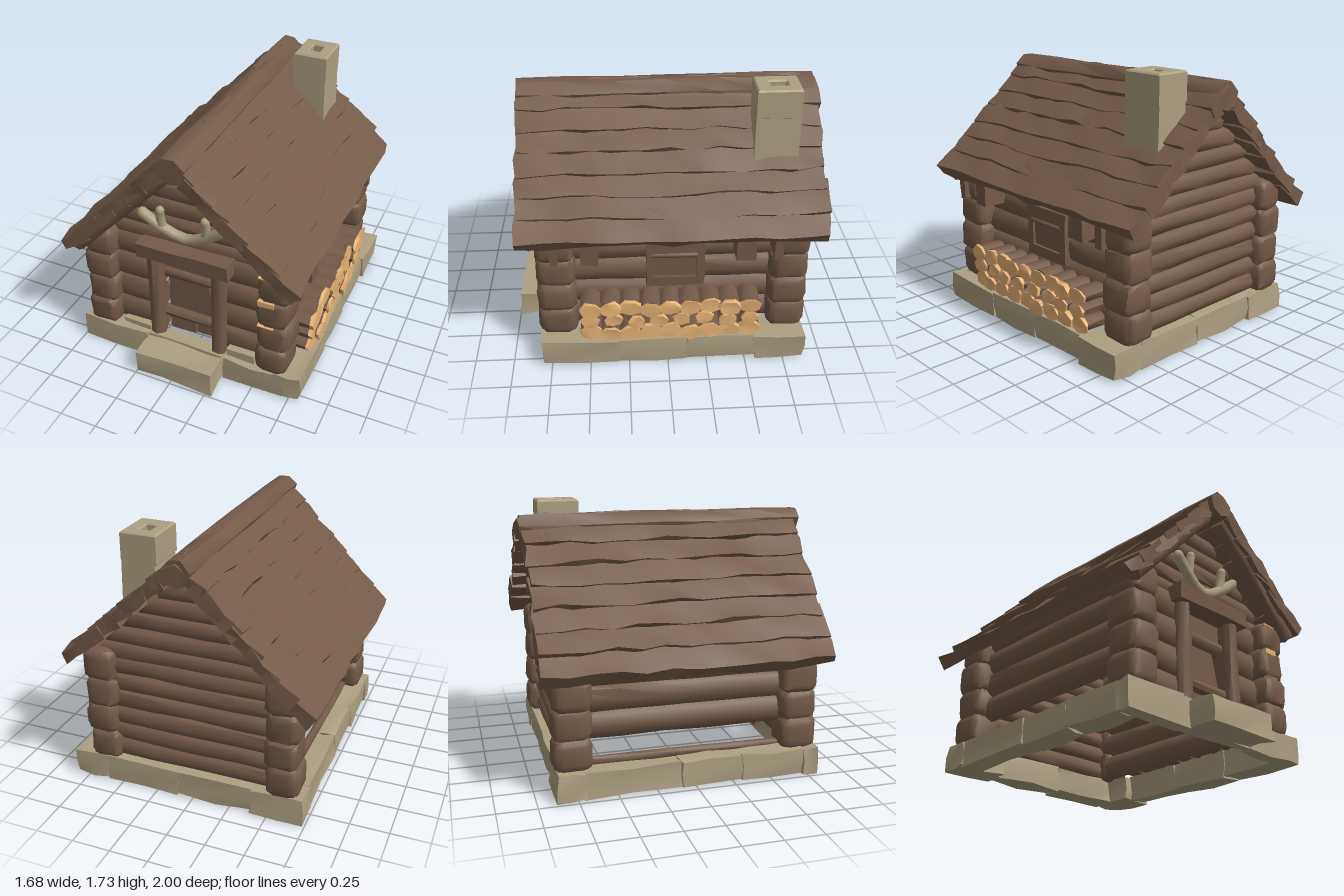
import * as THREE from 'three';
import { toCreasedNormals } from 'three/addons/utils/BufferGeometryUtils.js';
import { RoundedBoxGeometry } from 'three/addons/geometries/RoundedBoxGeometry.js';

const material = (name, color) => {
  const m = new THREE.MeshStandardMaterial({ color });
  m.name = name;
  return m;
};

export function createModel() {
  const group = new THREE.Group();
  const bark = material('brown timber', 0x735a49);
  const stone = material('grey stone', 0xada082);
  const cut = material('cut wood', 0xe6b274);
  let seed = 1;

  // Nudges vertices by a rule on their position, so shared corners stay joined
  function rough(geo, amount) {
    const p = geo.attributes.position;
    const k = seed++ * 1.37;
    const n = (a, b, c, s) => {
      const v = Math.sin(a * 127.1 + b * 311.7 + c * 74.7 + s + k) * 4375.85;
      return (v - Math.floor(v) - 0.5) * 2 * amount;
    };
    for (let i = 0; i < p.count; i++) {
      const [x, y, z] = [p.getX(i), p.getY(i), p.getZ(i)].map(v => Math.round(v * 1000) / 1000 + 0);
      p.setXYZ(i, x + n(x, y, z, 1), y + n(x, y, z, 2), z + n(x, y, z, 3));
    }
    return toCreasedNormals(geo, 0.9);
  }

  function add(name, geo, mat) {
    const mesh = new THREE.Mesh(geo, mat);
    mesh.name = name;
    group.add(mesh);
    return mesh;
  }

  // Rough block given by its limits on each axis
  function block(name, mat, [x0, x1], [y0, y1], [z0, z1], amount = 0.008, seg = [1, 1, 1]) {
    const geo = rough(new THREE.BoxGeometry(x1 - x0, y1 - y0, z1 - z0, ...seg), amount);
    const mesh = add(name, geo, mat);
    mesh.position.set((x0 + x1) / 2, (y0 + y1) / 2, (z0 + z1) / 2);
    return mesh;
  }

  // Log between two points, with its own half width and half height
  function log(name, a, b, w, h = w, mat = bark, sides = 8, amount = 0.005) {
    const A = new THREE.Vector3(...a), B = new THREE.Vector3(...b);
    const len = A.distanceTo(B);
    const geo = new THREE.CylinderGeometry(1, 1, len, sides, Math.max(1, Math.round(len / 0.3)));
    geo.rotateX(Math.PI / 2).scale(w, h, 1);
    const mesh = add(name, rough(geo, amount), mat);
    mesh.position.copy(A).add(B).multiplyScalar(0.5);
    mesh.lookAt(B);
    return mesh;
  }

  // Flat outline with thickness
  function plate(name, mat, pts, depth, z) {
    const shape = new THREE.Shape(pts.map(([x, y]) => new THREE.Vector2(x, y)));
    add(name, new THREE.ExtrudeGeometry(shape, { depth, bevelEnabled: false }), mat).position.z = z;
  }

  // Foundation ring and doorstep
  const H = [0.01, 0.18];
  const stones = [
    [[-0.73, -0.25], [0.71, 0.82]], [[-0.25, 0.29], [0.71, 0.81]], [[0.29, 0.72], [0.71, 0.82]],
    [[0.65, 0.825], [0.32, 0.81]], [[0.66, 0.81], [-0.12, 0.32]], [[0.66, 0.81], [-0.56, -0.12]],
    [[0.6, 0.825], [-0.88, -0.56]], [[0.1, 0.6], [-0.87, -0.73]], [[-0.4, 0.1], [-0.87, -0.73]],
    [[-0.73, -0.4], [-0.88, -0.71]], [[-0.72, -0.57], [-0.71, -0.1]], [[-0.72, -0.57], [-0.1, 0.3]],
    [[-0.73, -0.56], [0.3, 0.71]],
  ];
  stones.forEach(([x, z]) => block('foundationStone', stone, x, H, z, 0.012, [2, 2, 2]));
  block('doorstep', stone, [-0.25, 0.29], [0.01, 0.165], [0.78, 0.99], 0.012, [3, 2, 2]);
  block('smallStone', stone, [-0.45, -0.25], [0.16, 0.215], [0.68, 0.77]);
  block('smallStone', stone, [0.31, 0.5], [0.16, 0.225], [0.68, 0.77]);

  // Stacked log ends at the four corners
  for (const x of [-0.59, 0.615]) {
    for (const z of [0.7, -0.77]) {
      for (let i = 0; i < 4; i++) {
        const geo = new RoundedBoxGeometry(0.215, 0.22, 0.245, 2, 0.06);
        const mesh = add('cornerLog', rough(geo, 0.006), bark);
        mesh.position.set(x + (i % 2) * 0.012, 0.275 + i * 0.188, z);
      }
    }
  }
  for (const [y, h] of [[0.73, 0.035], [0.55, 0.008], [0.92, 0.012]])
    block('splitEnd', cut, [0.53, 0.635], [y - h / 2, y + h / 2], [0.79, 0.822], 0.003);

  // Back wall, side walls and front wall beside the door
  for (let i = 0; i < 6; i++) {
    const y = 0.24 + i * 0.12;
    log('backWallLog', [-0.56, y, -0.78], [0.58, y, -0.78], 0.06, 0.068);
  }
  for (let i = 0; i < 5; i++) {
    const y = 0.26 + i * 0.165;
    log('sideWallLog', [0.57, y, -0.74], [0.57, y, 0.68], 0.055, 0.092);
    if (i > 0) log('sideWallLog', [-0.56, y, -0.74], [-0.56, y, 0.68], 0.055, 0.092);
  }
  log('sillLog', [-0.58, 0.195, -0.7], [-0.58, 0.195, 0.64], 0.03, 0.028);
  for (let i = 0; i < 4; i++) {
    const y = 0.27 + i * 0.185;
    log('frontWallLog', [-0.54, y, 0.68], [-0.17, y, 0.68], 0.055, 0.1);
    log('frontWallLog', [0.21, y, 0.68], [0.57, y, 0.68], 0.055, 0.1);
  }

  // Gable logs, shorter toward the ridge
  for (let i = 0; i < 5; i++) {
    const y = 0.93 + i * 0.115, top = y + 0.03;
    const xl = -(0.07 + (1.49 - top) / 1.03), xr = 0.1 + (1.52 - top) / 0.9;
    for (const z of [0.66, -0.77])
      log('gableLog', [Math.max(xl, -0.64), y, z], [Math.min(xr, 0.66), y, z], 0.055, 0.067);
  }

  // Doorway
  log('doorPost', [-0.2, 0.16, 0.74], [-0.2, 0.83, 0.74], 0.053, 0.055);
  log('doorPost', [0.245, 0.16, 0.74], [0.245, 0.83, 0.74], 0.053, 0.055);
  block('lintel', bark, [-0.29, 0.335], [0.825, 0.925], [0.68, 0.82], 0.006, [3, 1, 1]);
  block('doorTop', bark, [-0.15, 0.2], [0.62, 0.83], [0.63, 0.69], 0.003);
  log('doorRail', [-0.15, 0.66, 0.69], [0.2, 0.66, 0.69], 0.03, 0.04);
  block('doorBack', bark, [-0.17, 0.22], [0.15, 0.64], [0.6, 0.63], 0.002);
  block('doorFoot', bark, [-0.15, 0.03], [0.16, 0.33], [0.62, 0.66], 0.003);
  plate('doorPanel', bark, [[-0.14, 0.37], [0.19, 0.37], [0.14, 0.62], [-0.09, 0.62]], 0.05, 0.63);
  log('doorBar', [-0.16, 0.345, 0.7], [0.2, 0.345, 0.7], 0.035, 0.035);

  // Antlers over the door
  const antler = (pts, r) => {
    const curve = new THREE.CatmullRomCurve3(pts.map(([x, y, z]) => new THREE.Vector3(x, y, z)));
    add('antler', new THREE.TubeGeometry(curve, 8, r, 7), stone);
    for (const t of [0, 1])
      add('antlerTip', new THREE.SphereGeometry(r, 7, 5), stone).position.copy(curve.getPoint(t));
  };
  antler([[-0.25, 1.14, 0.77], [-0.13, 1.05, 0.75], [0.02, 0.99, 0.73],
    [0.16, 1.05, 0.75], [0.28, 1.14, 0.77]], 0.035);
  antler([[-0.13, 1.06, 0.75], [-0.135, 1.13, 0.76], [-0.13, 1.185, 0.77]], 0.029);
  antler([[0.16, 1.06, 0.75], [0.17, 1.13, 0.76], [0.17, 1.185, 0.77]], 0.029);

  // Side window with a recessed shutter
  const X = [0.58, 0.65];
  block('windowTop', bark, X, [0.735, 0.82], [-0.24, 0.13], 0.004);
  block('windowSill', bark, X, [0.48, 0.55], [-0.24, 0.13], 0.004);
  block('windowSide', bark, X, [0.54, 0.74], [0.08, 0.13], 0.004);
  block('windowSide', bark, X, [0.54, 0.74], [-0.24, -0.19], 0.004);
  block('shutter', bark, [0.59, 0.632], [0.54, 0.7], [-0.2, 0.09], 0.003);
  log('shutterRail', [0.635, 0.715, -0.2], [0.635, 0.715, 0.09], 0.02, 0.02);

  // Firewood pile with pale cut ends, the middle row set loosely
  for (let row = 0; row < 3; row++) {
    const loose = row === 1;
    const count = loose ? 8 : 9, pitch = 1.01 / (count - 1);
    for (let i = 0; i < count; i++) {
      const y = 0.23 + row * 0.093, z = 0.49 - i * pitch;
      const end = 0.785 + ((i * 7 + row * 5) % 4) * 0.01;
      const w = loose ? 0.058 : 0.072, h = loose ? 0.048 : 0.053;
      log('firewood', [0.6, y, z], [end - 0.02, y, z], w - 0.004, h - 0.004, bark, 7, 0.004);
      log('firewoodEnd', [end - 0.02, y, z], [end, y, z], w, h, cut, 7, 0.007);
    }
  }

  // Overlapping shingle courses on both slopes
  const slopes = [
    { top: [-0.05, 1.61], eave: [-0.825, 0.81], z: [-0.96, 0.875] },
    { top: [0.08, 1.62], eave: [0.815, 0.945], z: [-0.985, 0.915] },
  ];
  const courses = 7;
  for (const { top, eave, z } of slopes) {
    const dx = eave[0] - top[0], dy = eave[1] - top[1];
    const step = Math.hypot(dx, dy) / courses;
    const angle = Math.atan2(dy, Math.abs(dx)) + 0.12;
    for (let i = 0; i < courses; i++) {
      const len = step * 1.5, t = (i + 1) / courses;
      const geo = new THREE.BoxGeometry(len, 0.08, z[1] - z[0], 2, 1, 12);
      geo.translate(-len / 2, -0.035, 0);
      const mesh = add('shingleCourse', rough(geo, 0.014), bark);
      mesh.position.set(top[0] + dx * t, top[1] + dy * t, (z[0] + z[1]) / 2);
      // The left slope is the same course turned half round
      mesh.rotation.set(0, dx < 0 ? Math.PI : 0, angle, 'YXZ');
    }
  }
  log('ridgeLog', [0.02, 1.575, -0.97], [0.02, 1.575, 0.92], 0.096, 0.092, bark, 7, 0.007);

  // Front rafters under the roof edge, and tails under the eave
  log('rafter', [0.08, 1.49, 0.84], [0.76, 0.88, 0.84], 0.05, 0.05);
  log('rafter', [-0.05, 1.49, 0.83], [-0.71, 0.81, 0.83], 0.05, 0.05);
  for (const [z, w] of [[0.48, 0.055], [-0.48, 0.06], [0.7, 0.025], [-0.68, 0.025]])
    block('rafterTail', bark, [0.58, 0.77], [0.75, 0.96], [z - w, z + w], 0.006);

  // Chimney, cut to the roof slope below and with an open rim above
  plate('chimneyBody', stone, [[0.212, 1.44], [0.44, 1.25], [0.432, 1.56], [0.218, 1.56]], 0.275, -0.825);
  const rim = new THREE.Shape();
  rim.moveTo(0.215, 0.56).lineTo(0.425, 0.56).lineTo(0.425, 0.815).lineTo(0.215, 0.815);
  const hole = new THREE.Path();
  hole.moveTo(0.27, 0.63).lineTo(0.27, 0.755).lineTo(0.36, 0.755).lineTo(0.36, 0.63);
  rim.holes.push(hole);
  const cap = new THREE.ExtrudeGeometry(rim, {
    depth: 0.17, bevelSize: 0.01, bevelThickness: 0.01, bevelSegments: 1,
  });
  add('chimneyRim', cap.rotateX(-Math.PI / 2), stone).position.y = 1.55;
  block('chimneyFlue', bark, [0.26, 0.37], [1.6, 1.64], [-0.765, -0.62], 0);

  return group;
}
